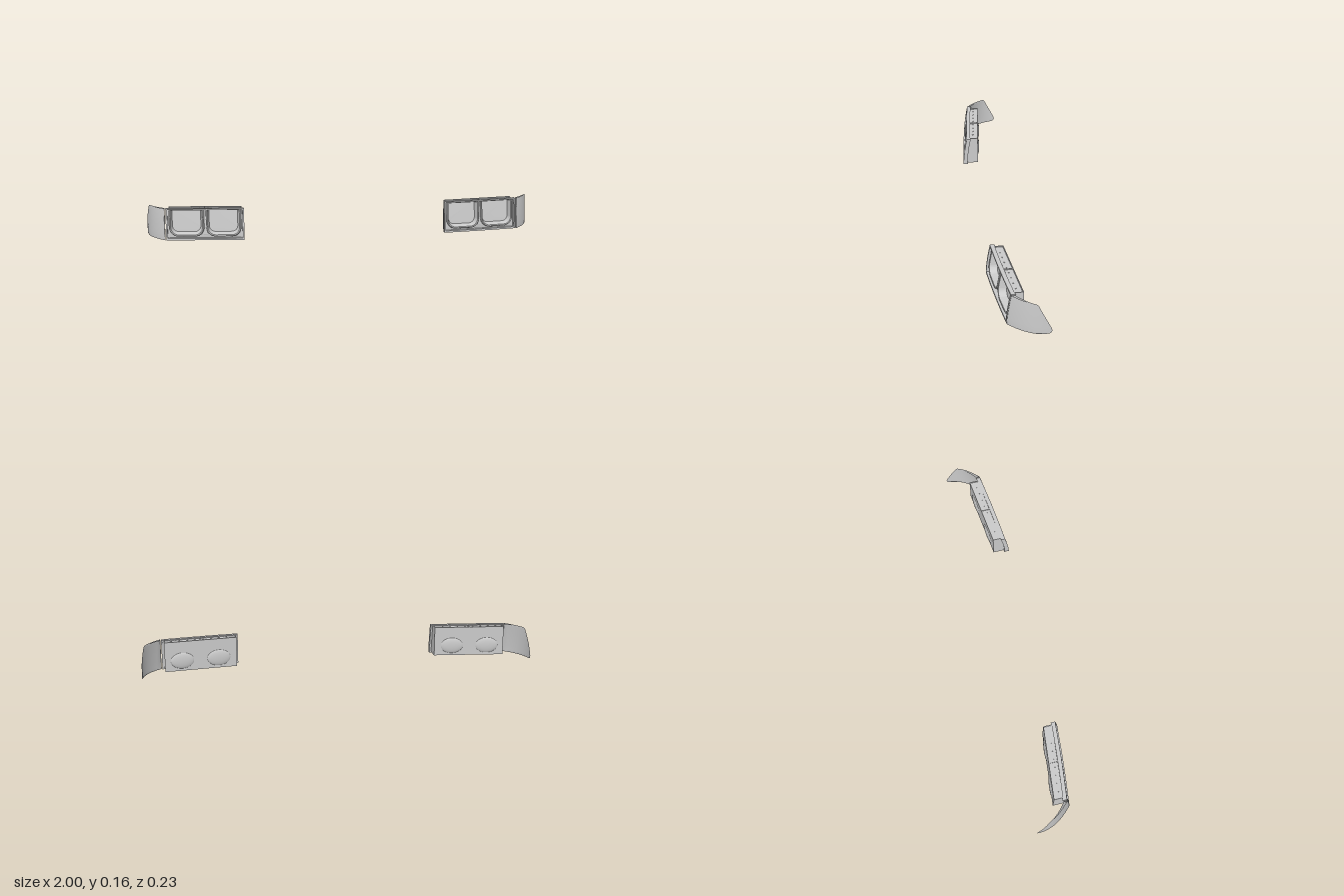
import * as THREE from 'three';
import { mergeVertices, toCreasedNormals } from 'three/addons/utils/BufferGeometryUtils.js';

const H = 0.157;
const material = new THREE.MeshStandardMaterial({ color: 0xcccccc, side: THREE.DoubleSide });

// Curved, swept-back front of the lamp and the flat back of its housing
const along = (x) => (x - 0.51) / 0.39;
const lean = (y) => 0.02 * Math.pow(Math.max(y, 0) / H, 1.6);
const frontZ = (x, y) => 0.118 - 0.03 * along(x) - 0.014 * along(x) ** 2 - lean(y);
const backZ = (x) => 0.037 - 0.045 * along(x);
const inset = (d) => (x, y) => frontZ(x, y) - d;

// Move every vertex of a geometry by a rule
function warp(geometry, rule) {
  const p = geometry.attributes.position;
  for (let i = 0; i < p.count; i++) p.setXYZ(i, ...rule(p.getX(i), p.getY(i), p.getZ(i)));
  geometry.computeVertexNormals();
  return geometry;
}

// Box whose back and front follow two depth functions
function slab(x0, x1, y0, y1, back, front) {
  return warp(new THREE.BoxGeometry(1, 1, 1, 8, 8, 1), (a, b, c) => {
    const x = x0 + (a + 0.5) * (x1 - x0), y = y0 + (b + 0.5) * (y1 - y0);
    return [x, y, THREE.MathUtils.lerp(back(x, y), front(x, y), c + 0.5)];
  });
}

// U-shaped outline with a straight top and rounded lower corners
function cupOutline(x0, x1, i, PathClass = THREE.Shape) {
  const r = 0.048 - i, l = x0 + i, rt = x1 - i, b = 0.016 + i, top = 0.152 - i * 0.3;
  const s = new PathClass();
  s.moveTo(l, top);
  s.lineTo(l, b + r);
  s.absarc(l + r, b + r, r, Math.PI, Math.PI * 1.5, false);
  s.absarc(rt - r, b + r, r, Math.PI * 1.5, Math.PI * 2, false);
  s.lineTo(rt, top);
  s.lineTo(l, top);
  return s;
}

// Raised rim and recessed wall: the outline lofted through [inset, depth] steps
function cupWall(x0, x1) {
  const steps = [[0, 0.02], [0, 0.01], [0.004, 0.007], [0.009, 0.009], [0.012, 0.02], [0.017, 0.045]];
  const rings = steps.map(([i]) => cupOutline(x0, x1, i).getPoints(8));
  const n = rings[0].length - 1, m = steps.length - 1;
  const g = warp(new THREE.PlaneGeometry(1, 1, n, m), (a, b) => {
    const k = Math.round((b + 0.5) * m);
    const q = rings[k][Math.round((a + 0.5) * n)];
    return [q.x, q.y, frontZ(q.x, q.y) - steps[k][1]];
  });
  return toCreasedNormals(g, 0.6);
}

// Wraparound side lens: rows of [height, rear end of the row]
const lensRows = [[0, -0.05], [0.003, -0.1], [0.008, -0.112], [0.02, -0.117], [0.035, -0.112],
  [0.08, -0.09], [0.12, -0.07], [0.148, -0.057], [0.154, -0.052], [0.157, -0.042]];
function lensSheet(thickness) {
  const m = lensRows.length - 1;
  return warp(new THREE.PlaneGeometry(1, 1, 20, m), (a, b) => {
    const [y, end] = lensRows[Math.round((b + 0.5) * m)];
    const start = 0.074 - lean(y), u = a + 0.5;
    const z = THREE.MathUtils.lerp(start, end, Math.pow(u, 1.5));
    const x = 0.905 + 0.095 * (1 - Math.pow(1 - (start - z) / 0.191, 2.2));
    const t = thickness * (1 - u);
    return [x - t * 0.6 * Math.min(1, u * 4), y, z - t];
  });
}

function buildParts() {
  const parts = [];
  const add = (name, g) => parts.push([name, g]);
  const cups = [[0.526, 0.702], [0.71, 0.886]];

  // Front frame
  add('frameBottom', slab(0.512, 0.9, 0, 0.009, inset(0.026), frontZ));
  add('frameTop', slab(0.512, 0.9, 0.151, H, inset(0.02), frontZ));
  add('frameInnerEnd', slab(0.512, 0.52, 0, H, inset(0.022), frontZ));
  add('frameOuterEnd', slab(0.892, 0.9, 0, H, inset(0.022), frontZ));

  // Housing box
  add('housingBack', slab(0.522, 0.886, 0.002, 0.155, backZ, (x) => backZ(x) + 0.004));
  add('housingBottom', slab(0.522, 0.886, 0.002, 0.006, backZ, inset(0.02)));
  add('housingTop', slab(0.522, 0.886, 0.146, 0.15, backZ, inset(0.015)));
  add('housingInnerEnd', slab(0.522, 0.526, 0.002, 0.155, backZ, inset(0.015)));
  add('housingOuterEnd', slab(0.882, 0.886, 0.002, 0.155, backZ, inset(0.015)));
  add('topDivider', slab(0.704, 0.708, 0.148, 0.155, backZ, inset(0.015)));

  // Recessed face plate with an opening for each cup
  const plate = new THREE.Shape([[0.516, 0.004], [0.896, 0.004], [0.896, 0.155], [0.516, 0.155]]
    .map(([x, y]) => new THREE.Vector2(x, y)));
  for (const [a, b] of cups) plate.holes.push(cupOutline(a, b, 0.004, THREE.Path));
  add('facePlate', warp(new THREE.ShapeGeometry(plate, 8), (x, y) => [x, y, frontZ(x, y) - 0.018]));

  for (const [a, b] of cups) {
    add('cupRim', cupWall(a, b));
    add('cupFloor', warp(new THREE.ShapeGeometry(cupOutline(a, b, 0.017), 8),
      (x, y) => [x, y, frontZ(x, y) - 0.045]));
    // Swelling of the cup through the back of the housing
    const mid = (a + b) / 2;
    add('cupBack', warp(new THREE.SphereGeometry(1, 24, 12),
      (x, y, z) => [mid + x * 0.06, 0.055 + y * 0.042, backZ(mid + x * 0.06) + 0.002 + z * 0.01]));
  }

  // Row of small studs on top
  for (let i = 0; i < 8; i++) {
    const x = 0.57 + i * 0.04;
    add('topStud', new THREE.CylinderGeometry(0.003, 0.003, 0.004, 8)
      .translate(x, 0.151, backZ(x) + 0.028));
  }

  // Side lens and its leading edge
  add('sideLensOuter', lensSheet(0));
  add('sideLensInner', lensSheet(0.014));
  add('sideLensEdge', slab(0.904, 0.907, 0, H, (x, y) => 0.06 - lean(y), (x, y) => 0.073 - lean(y)));
  return parts;
}

// Mirror a geometry across x = 0, keeping faces outward
function mirrored(source) {
  const g = source.clone().scale(-1, 1, 1);
  const ix = g.index.array;
  for (let i = 0; i < ix.length; i += 3) [ix[i], ix[i + 1]] = [ix[i + 1], ix[i]];
  return g;
}

export function createModel() {
  const model = new THREE.Group();
  model.name = 'lampPair';
  const left = new THREE.Group(), right = new THREE.Group();
  left.name = 'leftLamp';
  right.name = 'rightLamp';
  for (const [name, raw] of buildParts()) {
    const g = mergeVertices(raw, 1e-6);
    for (const [side, geo] of [[left, g], [right, mirrored(g)]]) {
      const mesh = new THREE.Mesh(geo, material);
      mesh.name = name;
      side.add(mesh);
    }
  }
  model.add(left, right);
  return model;
}
